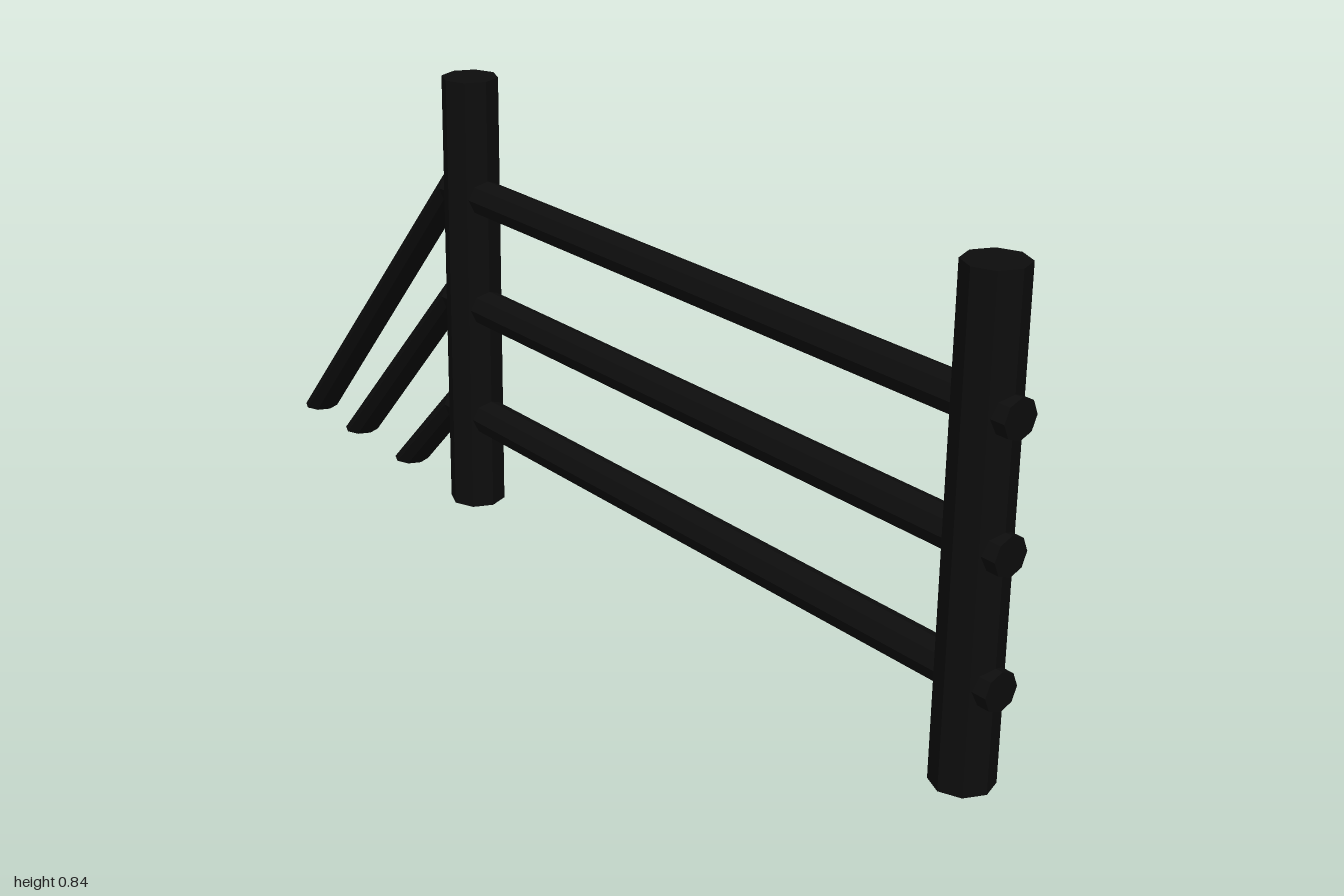
import * as THREE from 'three';

const SIDES = 8;
const POST_RADIUS = 0.0525;
const POST_HEIGHT = 0.84;
const RAIL_RADIUS = 0.034;
const BEND_X = -0.431;

// Closed skin through a list of equal rings, capped at both ends
function loft(rings) {
  const pos = rings.flat(2);
  const index = [];
  for (let r = 0; r < rings.length - 1; r++) {
    for (let i = 0; i < SIDES; i++) {
      const j = (i + 1) % SIDES;
      const a = r * SIDES + i, b = r * SIDES + j;
      const c = a + SIDES, d = b + SIDES;
      index.push(a, b, c, b, d, c);
    }
  }
  const last = (rings.length - 1) * SIDES;
  for (let i = 1; i < SIDES - 1; i++) {
    index.push(0, i + 1, i);
    index.push(last, last + i, last + i + 1);
  }
  const indexed = new THREE.BufferGeometry();
  indexed.setAttribute('position', new THREE.Float32BufferAttribute(pos, 3));
  indexed.setIndex(index);
  const geometry = indexed.toNonIndexed();
  geometry.computeVertexNormals();
  return geometry;
}

function ring(pointAt) {
  return Array.from({ length: SIDES }, (_, i) => {
    const a = (i / SIDES) * Math.PI * 2;
    return pointAt(Math.cos(a) * RAIL_RADIUS, Math.sin(a) * RAIL_RADIUS);
  });
}

export function createModel() {
  const group = new THREE.Group();
  group.name = 'fence';
  const black = new THREE.MeshStandardMaterial({ color: 0x0d0d0d, flatShading: true });
  black.name = 'black';

  // Upright octagonal posts
  const postGeometry = new THREE.CylinderGeometry(POST_RADIUS, POST_RADIUS, POST_HEIGHT, SIDES);
  for (const [name, x] of [['rightPost', -0.372], ['leftPost', 0.934]]) {
    const post = new THREE.Mesh(postGeometry, black);
    post.name = name;
    post.position.set(x, POST_HEIGHT / 2, 0);
    group.add(post);
  }

  // Rails: level through the posts, then bent down to a flat foot on the ground
  const rails = [
    ['topRail', 0.619, -0.966],
    ['middleRail', 0.404, -0.802],
    ['bottomRail', 0.182, -0.61],
  ];
  for (const [name, y, footX] of rails) {
    const rail = new THREE.Mesh(loft([
      ring((u, v) => [footX - u, 0, v]),
      ring((u, v) => [BEND_X, y + u, v]),
      ring((u, v) => [1, y + u, v]),
    ]), black);
    rail.name = name;
    group.add(rail);
  }
  return group;
}
